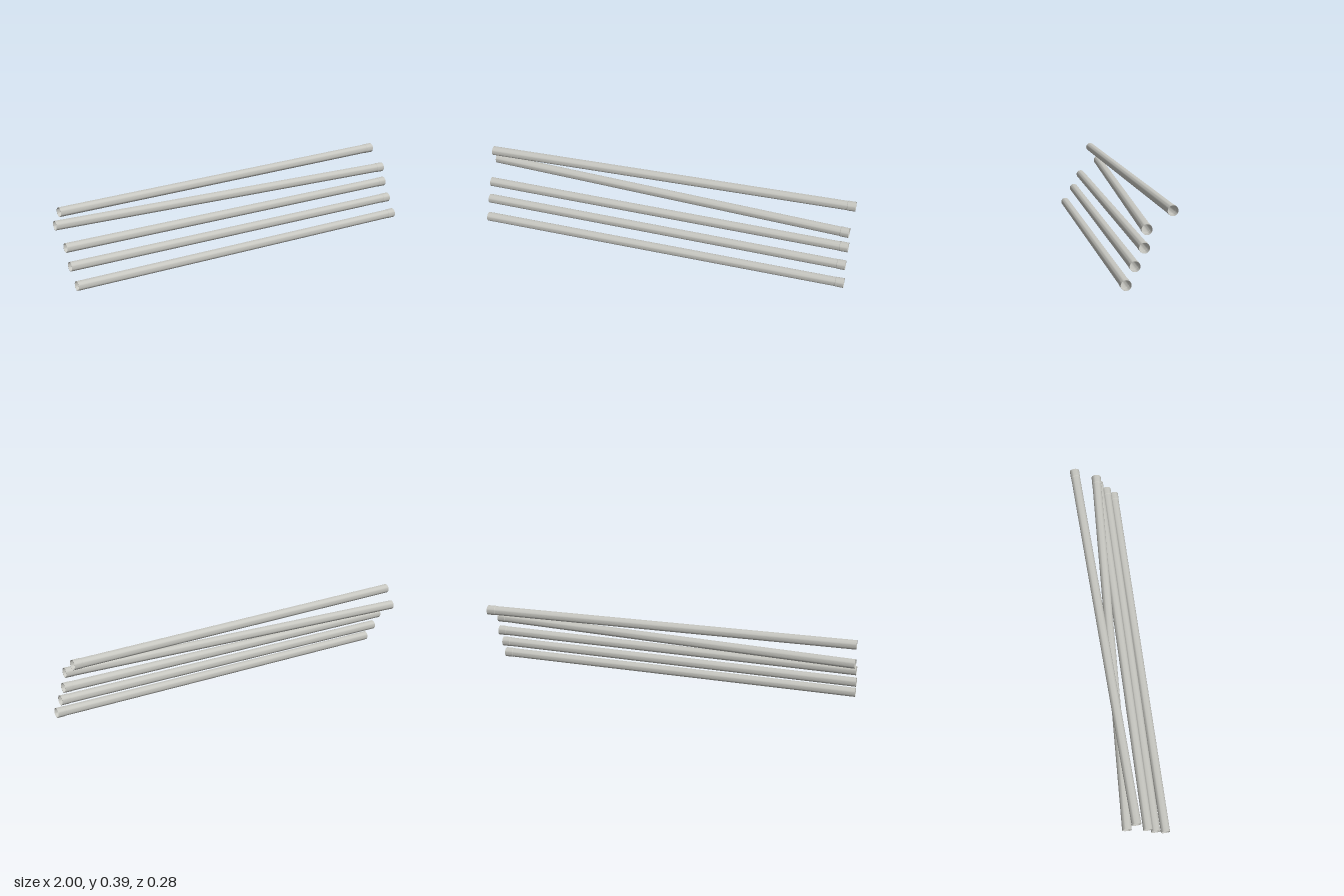
import * as THREE from 'three';
import { toCreasedNormals } from 'three/addons/utils/BufferGeometryUtils.js';

const BODY = 0.0243, BELL = 0.0256, WALL = 0.0009, BELL_LENGTH = 0.042;

// Thin-walled pipe along +y, with a slightly wider bell at its upper end
function pipeGeometry(length) {
  const h = length / 2, step = h - BELL_LENGTH;
  const outer = [[BODY, -h], [BODY, step - 0.003], [BELL, step], [BELL, h]];
  const inner = outer.map(([r, y]) => [r - WALL, y]).reverse();
  const profile = [...outer, ...inner, outer[0]].map(([r, y]) => new THREE.Vector2(r, y));
  return toCreasedNormals(new THREE.LatheGeometry(profile, 36), 0.4);
}

export function createModel() {
  const group = new THREE.Group();
  group.name = 'pipes';
  const grey = new THREE.MeshStandardMaterial({ color: 0xc6c6c0 });
  grey.name = 'pale grey';

  // Each pipe: height, then x and z of the plain end and of the bell end
  const pipes = [
    [0.028, -0.988, 0.117, 1.0, 0.103],
    [0.1125, -0.995, 0.062, 0.993, 0.0605],
    [0.197, -0.996, 0.0195, 0.992, 0.0175],
    [0.281, -1.0, -0.089, 0.986, 0.005],
    [0.3655, -0.995, -0.041, 0.993, -0.113],
  ];
  const up = new THREE.Vector3(0, 1, 0);
  pipes.forEach(([y, x0, z0, x1, z1], i) => {
    const start = new THREE.Vector3(x0, y, z0), end = new THREE.Vector3(x1, y, z1);
    const pipe = new THREE.Mesh(pipeGeometry(start.distanceTo(end)), grey);
    pipe.name = `pipe${i + 1}`;
    pipe.position.addVectors(start, end).multiplyScalar(0.5);
    pipe.quaternion.setFromUnitVectors(up, end.sub(start).normalize());
    group.add(pipe);
  });
  return group;
}
